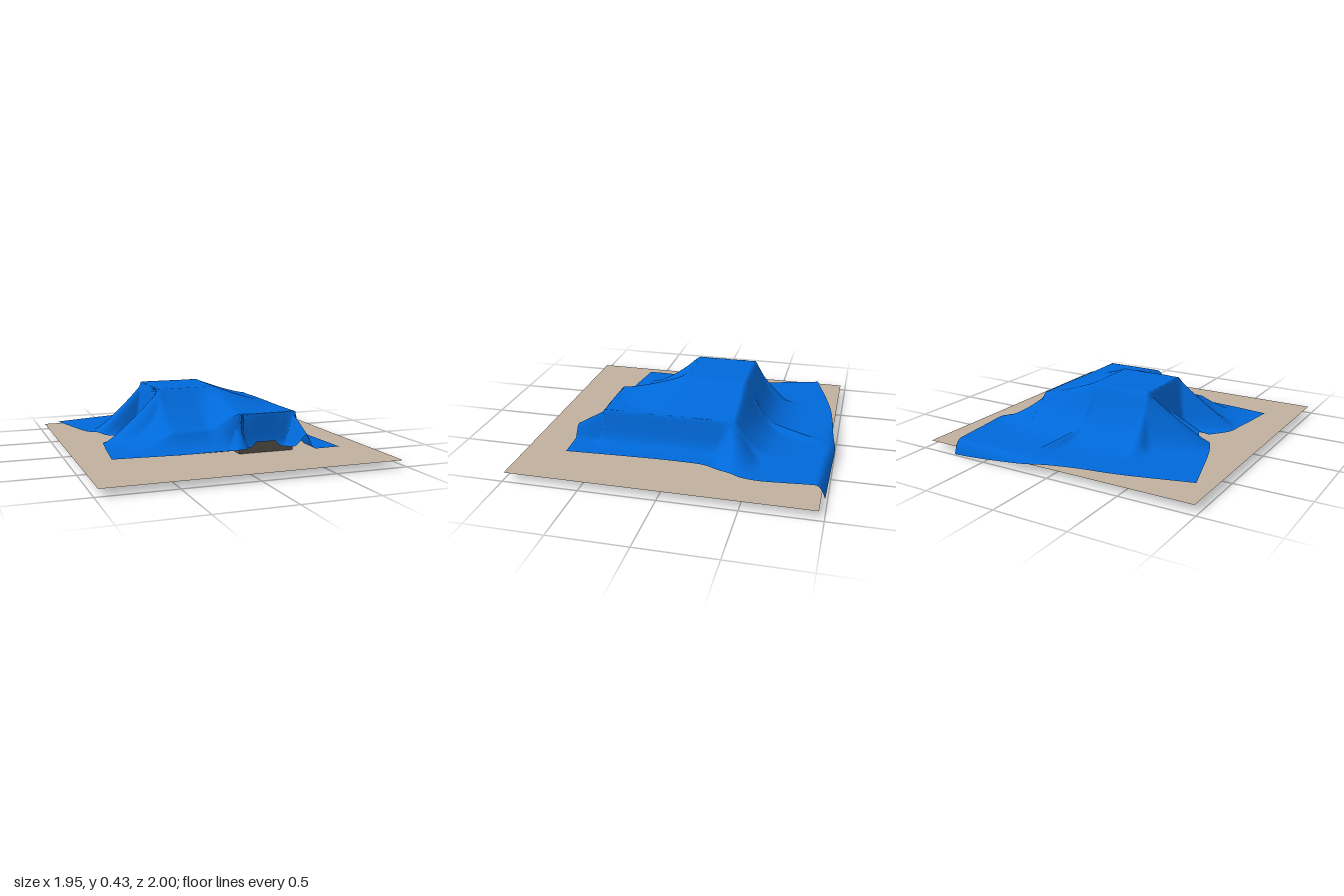
import * as THREE from 'three';

const GROUND = 0.045, REST = 0.091;
const { clamp, lerp, smoothstep } = THREE.MathUtils;

// Smooth curve through [x, z] points
const edge = (pts) => new THREE.CatmullRomCurve3(pts.map(([x, z]) => new THREE.Vector3(x, 0, z)));

// The four borders of the cloth
const back = edge([[-0.9, -0.79], [-0.42, -0.92], [-0.15, -0.96], [0.02, -0.977], [0.18, -1], [0.4, -0.995], [0.75, -0.985]]);
const front = edge([[-0.795, 0.555], [-0.4, 0.595], [0, 0.595], [0.06, 0.61], [0.1, 0.565], [0.15, 0.53],
  [0.25, 0.525], [0.32, 0.53], [0.365, 0.59], [0.4, 0.665], [0.46, 0.695], [0.685, 0.695]]);
const left = edge([[-0.9, -0.79], [-0.74, -0.26], [-0.69, -0.18], [-0.585, -0.1], [-0.64, -0.03], [-0.74, 0.09], [-0.76, 0.18], [-0.795, 0.555]]);
const right = edge([[0.75, -0.985], [0.785, -0.47], [0.76, -0.42], [0.7, -0.3], [0.665, -0.22], [0.655, 0], [0.665, 0.3], [0.685, 0.695]]);

// Folds: start x, z, height; end x, z, height; half width on either side; sag
const folds = [
  [-0.35, -0.35, 0.41, -0.73, -0.21, 0.1, 0.14, 0.06, 1.15],
  [-0.35, 0.05, 0.41, -0.74, 0.14, 0.1, 0.07, 0.16, 1.15],
  [-0.4, -0.13, 0.24, -0.6, -0.08, 0.11, 0.045, 0.045, 1],
  [0.44, -0.35, 0.3, 0.77, -0.45, 0.1, 0.085, 0.13, 1.5],
  [0.44, 0.48, 0.305, 0.45, 0.68, 0.19, 0.05, 0.04, 1],
  [0.05, 0.47, 0.28, 0.05, 0.6, 0.1, 0.05, 0.05, 1],
  [0.05, -0.38, 0.41, 0.07, -0.52, 0.17, 0.07, 0.07, 1],
  [0.07, -0.52, 0.16, 0.17, -0.9, 0.098, 0.05, 0.05, 1],
  [-0.35, -0.4, 0.36, -0.38, -0.62, 0.12, 0.07, 0.07, 1.2],
];

const smoothMax = (a, b, k = 0.02) => {
  const h = Math.max(k - Math.abs(a - b), 0) / k;
  return Math.max(a, b) + h * h * k * 0.25;
};

// Height of the cloth where it rests on the three boxes
function topHeight(x, z, side) {
  const dz = Math.max(0, z - 0.045);
  const spread = clamp(Math.hypot(Math.max(0, x - 0.065) / 0.4, dz / 0.46), 0, 1);
  const overRight = 0.306 + 0.122 * (1 - spread) ** 1.3;
  const overLow = 0.2 + 0.228 * (1 - clamp(dz / 0.36, 0, 1)) ** 1.5;
  return lerp(overLow, overRight, side);
}

// Height of the draped cloth at any point
function drape(x, z) {
  const side = smoothstep(x, -0.12, 0.06);
  const cx = clamp(x, -0.355, 0.458);
  const cz = clamp(z, -0.37, lerp(0.405, 0.506, side));
  const wx = x > cx ? 0.032 : lerp(0.05, 0.18, smoothstep(z, 0.05, 0.25));
  const wz = z < cz ? 0.12 : lerp(0.07, 0.011, side);
  const d = Math.hypot((x - cx) / wx, (z - cz) / wz);
  let y = REST + (topHeight(cx, cz, side) - REST) * Math.exp(-(d ** 1.25));
  for (const [x0, z0, y0, x1, z1, y1, wa, wb, sag] of folds) {
    const ax = x1 - x0, az = z1 - z0, px = x - x0, pz = z - z0;
    const t = clamp((px * ax + pz * az) / (ax * ax + az * az), 0, 1);
    const w = ax * pz - az * px > 0 ? wa : wb;
    const r = Math.hypot(px - ax * t, pz - az * t) / w;
    const crest = y1 + (y0 - y1) * (1 - t) ** sag;
    if (r < 3) y = smoothMax(y, REST - 0.02 + (crest - REST + 0.02) * Math.exp(-r * r));
  }
  return y;
}

// Cloth sheet: a patch blended between the four borders, then draped
function clothGeometry(n = 180) {
  const ease = (t) => t - 0.1 * Math.sin(2 * Math.PI * t);
  const steps = Array.from({ length: n + 1 }, (_, i) => ease(i / n));
  const sample = (curve) => steps.map((t) => curve.getPointAt(t));
  const [B, F, L, R] = [back, front, left, right].map(sample);
  const pos = [], index = [];
  for (let j = 0; j <= n; j++) {
    for (let i = 0; i <= n; i++) {
      const u = steps[i], v = steps[j];
      const blend = (k) => lerp(B[i][k], F[i][k], v) + lerp(L[j][k], R[j][k], u)
        - lerp(lerp(B[0][k], B[n][k], u), lerp(F[0][k], F[n][k], u), v);
      const x = blend('x'), z = blend('z');
      // the back border hangs over the edge of the ground
      const hang = 0.094 * smoothstep(x, -0.3, 0.85) * Math.max(0, 1 - v / 0.048) ** 3;
      pos.push(x, drape(x, z) - hang, z);
      if (i < n && j < n) {
        const a = j * (n + 1) + i, b = a + n + 1;
        index.push(a, b, a + 1, b, b + 1, a + 1);
      }
    }
  }
  const geo = new THREE.BufferGeometry();
  geo.setAttribute('position', new THREE.Float32BufferAttribute(pos, 3));
  geo.setIndex(index);
  geo.computeVertexNormals();
  return geo;
}

export function createModel() {
  const group = new THREE.Group();
  const material = (name, color) => {
    const mat = new THREE.MeshStandardMaterial({ color, side: THREE.DoubleSide });
    mat.name = name;
    return mat;
  };
  const blue = material('blue cloth', 0x0069da);
  const taupe = material('taupe', 0xc0b09f);
  const darkGrey = material('dark grey', 0x59544c);
  const add = (name, geo, mat) => {
    const mesh = new THREE.Mesh(geo, mat);
    mesh.name = name;
    group.add(mesh);
    return mesh;
  };

  // Flat ground sheet
  const ground = add('ground', new THREE.PlaneGeometry(1.945, 1.965).rotateX(-Math.PI / 2), taupe);
  ground.position.set(-0.002, GROUND, 0.0175);

  // Boxes under the cloth, sunk through the ground
  const box = (name, x0, x1, z0, z1, top) => {
    const y0 = 0.025;
    add(name, new THREE.BoxGeometry(x1 - x0, top - y0, z1 - z0), darkGrey)
      .position.set((x0 + x1) / 2, (top + y0) / 2, (z0 + z1) / 2);
  };
  box('tallBox', -0.35, 0.065, -0.36, 0.035, 0.42);
  box('lowBox', -0.345, 0.065, 0.035, 0.4, 0.185);
  box('longBox', 0.065, 0.448, -0.36, 0.498, 0.295);

  add('cloth', clothGeometry(), blue);
  return group;
}
